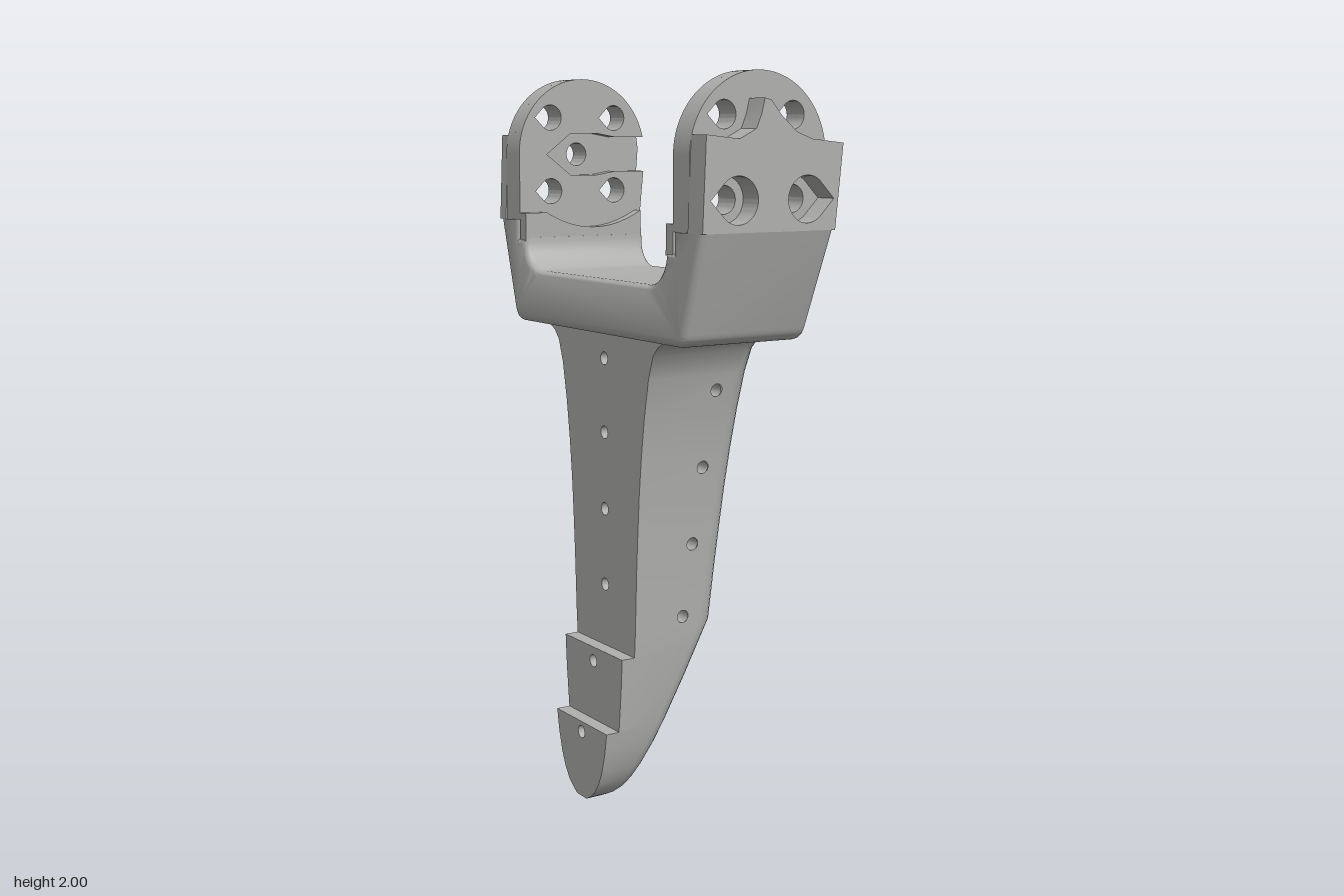
import * as THREE from 'three';
import { mergeGeometries, toCreasedNormals } from 'three/addons/utils/BufferGeometryUtils.js';

const HOLE = 0.018;

// Piecewise linear lookup in a list of [y, value]
const lerpTable = (table, y) => {
  for (let i = 1; i < table.length; i++) {
    const [y0, a] = table[i - 1], [y1, b] = table[i];
    if (y <= y1) return a + ((b - a) * (y - y0)) / (y1 - y0);
  }
  return table[table.length - 1][1];
};

// Front slope shared by leg, saddle and arms
const frontX = (y) => lerpTable([[0, -0.17], [0.01, -0.145], [0.03, -0.125], [0.06, -0.106], [0.5, 0.105], [2, 0.2585]], y);
const halfWidth = (y) => lerpTable([[0, 0.025], [0.01, 0.043], [0.03, 0.068], [0.06, 0.09], [0.1, 0.108], [0.16, 0.125],
  [0.22, 0.135], [0.34, 0.147], [0.5, 0.157], [0.67, 0.164], [0.775, 0.17], [0.88, 0.177], [0.99, 0.188], [1.1, 0.203],
  [1.205, 0.223], [1.27, 0.245], [1.295, 0.268], [1.31, 0.295], [1.34, 0.31]], y);
const backX = (y) => (y < 0.22 ? -0.24 : y < 0.43 ? -0.2 : -0.16);
const cornerR = (y) => Math.min(0.05, halfWidth(y) * 0.6);

function polygon(points, holes = []) {
  const shape = new THREE.Shape(points.map(([x, y]) => new THREE.Vector2(x, y)));
  shape.holes.push(...holes);
  return shape;
}

function roundHole(x, y, r) {
  const path = new THREE.Path();
  path.absarc(x, y, r, 0, Math.PI * 2, true);
  return path;
}

// Circle with a pointed end toward side s
function teardrop(x, y, r, s) {
  const path = new THREE.Path();
  const a = s > 0 ? Math.PI / 4 : Math.PI * 1.25;
  path.absarc(x, y, r, a, a + Math.PI * 1.5, false);
  path.lineTo(x + s * 1.41 * r, y);
  path.closePath();
  return path;
}

// Tapered leg made of bands, with drilled flat faces and rounded front corners
function legGeometry(frontHoles, sideHoles) {
  const levels = [0, 0.01, 0.03, 0.06, 0.1, 0.16, 0.22, 0.34, 0.43, 0.5, 0.56, 0.67, 0.775, 0.88, 0.99, 1.1, 1.205, 1.27, 1.295, 1.31, 1.34];
  const parts = [];
  const face = (points, holes, map) => {
    const g = new THREE.ShapeGeometry(polygon(points, holes), 8).toNonIndexed();
    const p = g.attributes.position;
    for (let i = 0; i < p.count; i++) p.setXYZ(i, ...map(p.getX(i), p.getY(i)));
    g.deleteAttribute('normal');
    g.deleteAttribute('uv');
    parts.push(g);
  };
  const quad = (a, b, c, d) => {
    const g = new THREE.BufferGeometry();
    g.setAttribute('position', new THREE.Float32BufferAttribute([a, b, c, a, c, d].flat(), 3));
    parts.push(g);
  };
  const corner = (y, i, s) => {
    const r = cornerR(y), t = (i / 5) * Math.PI / 2;
    return [frontX(y) - r + r * Math.sin(t), y, s * (halfWidth(y) - r + r * Math.cos(t))];
  };
  for (let k = 1; k < levels.length; k++) {
    const y0 = levels[k - 1], y1 = levels[k], xb = backX((y0 + y1) / 2);
    const inBand = ([, y]) => y > y0 && y < y1;
    const e0 = frontX(y0) - cornerR(y0), e1 = frontX(y1) - cornerR(y1);
    const w0 = halfWidth(y0), w1 = halfWidth(y1), n0 = w0 - cornerR(y0), n1 = w1 - cornerR(y1);
    const sides = sideHoles.filter(inBand), fronts = frontHoles.filter(inBand);
    face([[xb, y0], [e0, y0], [e1, y1], [xb, y1]], sides.map(([x, y]) => roundHole(x, y, HOLE)), (u, y) => [u, y, halfWidth(y)]);
    face([[-e0, y0], [-xb, y0], [-xb, y1], [-e1, y1]], sides.map(([x, y]) => roundHole(-x, y, HOLE)), (u, y) => [-u, y, -halfWidth(y)]);
    const drilled = () => fronts.map(([, y]) => roundHole(0, y, HOLE));
    face([[-n0, y0], [n0, y0], [n1, y1], [-n1, y1]], drilled(), (u, y) => [frontX(y), y, -u]);
    face([[-w0, y0], [w0, y0], [w1, y1], [-w1, y1]], drilled(), (u, y) => [xb, y, u]);
    for (let i = 0; i < 5; i++) {
      quad(corner(y0, i, 1), corner(y0, i + 1, 1), corner(y1, i + 1, 1), corner(y1, i, 1));
      quad(corner(y0, i + 1, -1), corner(y0, i, -1), corner(y1, i, -1), corner(y1, i + 1, -1));
    }
  }
  // Ledges of the two steps on the back
  for (const [y, a, b] of [[0.22, -0.24, -0.2], [0.43, -0.2, -0.16]]) {
    const w = halfWidth(y);
    quad([a, y, w], [b, y, w], [b, y, -w], [a, y, -w]);
  }
  // Underside of the tip
  const w = halfWidth(0), x = frontX(0);
  quad([-0.24, 0, -w], [x, 0, -w + cornerR(0)], [x, 0, w - cornerR(0)], [-0.24, 0, w]);
  return toCreasedNormals(mergeGeometries(parts), 0.45);
}

// U-shaped saddle, cut to the front slope
function saddleGeometry() {
  const s = new THREE.Shape();
  s.moveTo(-0.385, 1.6);
  s.lineTo(-0.385, 1.55);
  s.lineTo(-0.35, 1.55);
  s.bezierCurveTo(-0.35, 1.5, -0.31, 1.46, -0.26, 1.46);
  s.lineTo(0.285, 1.46);
  s.bezierCurveTo(0.335, 1.46, 0.375, 1.5, 0.375, 1.55);
  s.lineTo(0.41, 1.55);
  s.lineTo(0.41, 1.6);
  s.lineTo(0.52, 1.6);
  s.lineTo(0.445, 1.345);
  s.quadraticCurveTo(0.435, 1.31, 0.4, 1.31);
  s.lineTo(-0.4, 1.31);
  s.quadraticCurveTo(-0.435, 1.31, -0.445, 1.345);
  s.lineTo(-0.52, 1.6);
  s.closePath();
  const b = 0.02;
  const g = new THREE.ExtrudeGeometry(s, { depth: 0.395 - 2 * b, bevelThickness: b, bevelSize: b, bevelOffset: -b, bevelSegments: 4, curveSegments: 10 });
  g.rotateY(Math.PI / 2).translate(-0.195 + b, 0, 0);
  const p = g.attributes.position;
  for (let i = 0; i < p.count; i++) {
    if (p.getY(i) > 1.57) p.setY(i, 1.6);
    if (p.getX(i) > 0) p.setX(i, p.getX(i) + frontX(p.getY(i)) - 0.2);
  }
  return toCreasedNormals(g, 0.6);
}

// Round-topped ear plate, optionally with the pointed slot open to the front
function earShape(slotted, holes) {
  const s = new THREE.Shape();
  s.moveTo(-0.19, 1.6);
  s.lineTo(frontX(1.6), 1.6);
  if (slotted) {
    [[frontX(1.735), 1.735], [0.13, 1.735], [0.07, 1.725], [-0.02, 1.725], [-0.1, 1.785], [-0.02, 1.845], [0.07, 1.845], [0.13, 1.835]].forEach(([x, y]) => s.lineTo(x, y));
  }
  s.absarc(0.022, 1.788, 0.212, slotted ? 0.22 : 0.05, Math.PI, false);
  s.closePath();
  s.holes.push(...holes);
  return s;
}

export function createModel() {
  const model = new THREE.Group();
  const grey = new THREE.MeshStandardMaterial({ color: 0xb0b0ae, side: THREE.DoubleSide });
  grey.name = 'plain grey';
  const add = (name, geometry, parent = model) => {
    const mesh = new THREE.Mesh(geometry, grey);
    mesh.name = name;
    parent.add(mesh);
    return mesh;
  };

  const frontHoles = [1.24, 1.035, 0.82, 0.605, 0.39, 0.19].map((y) => [0, y]);
  const sideHoles = [[0.065, 1.16], [0.042, 0.945], [0.02, 0.73], [-0.005, 0.525]];
  add('leg', legGeometry(frontHoles, sideHoles));
  add('saddle', saddleGeometry());

  // Bores through the leg
  for (const [, y] of frontHoles) {
    const length = frontX(y - HOLE) - backX(y);
    const bore = add('frontBore', new THREE.CylinderGeometry(HOLE, HOLE, length, 16, 1, true));
    bore.rotation.z = Math.PI / 2;
    bore.position.set(backX(y) + length / 2, y, 0);
  }
  for (const [x, y] of sideHoles) {
    const bore = add('sideBore', new THREE.CylinderGeometry(HOLE, HOLE, 2 * halfWidth(y - HOLE), 16, 1, true));
    bore.rotation.x = Math.PI / 2;
    bore.position.set(x, y, 0);
  }

  // Arms: inner lip, slotted plate, backing plate and outer pad
  const boltHoles = () => [1.89, 1.68].flatMap((y) => [-0.087, 0.127].map((x) => teardrop(x, y, 0.036, -1)));
  const pockets = () => [teardrop(-0.087, 1.68, 0.06, -1), teardrop(0.127, 1.68, 0.06, 1)];
  const arms = [
    { name: 'leftArm', z: [0.35, 0.382, 0.415, 0.455, 0.52], centre: [] },
    { name: 'rightArm', z: [-0.376, -0.409, -0.445, -0.486, -0.52], centre: [0.02, 1.785] },
  ];
  for (const { name, z, centre } of arms) {
    const arm = new THREE.Group();
    arm.name = name;
    model.add(arm);
    const centreHole = () => (centre.length ? [roundHole(...centre, 0.033)] : []);
    const layer = (part, shape, a, b) => {
      const g = new THREE.ExtrudeGeometry(shape, { depth: Math.abs(b - a), bevelEnabled: false, curveSegments: 32 });
      g.translate(0, 0, Math.min(a, b));
      add(part, toCreasedNormals(g, 0.5), arm);
    };
    const lip = new THREE.Shape();
    lip.moveTo(-0.19, 1.54);
    lip.lineTo(frontX(1.54) - 0.01, 1.54);
    lip.lineTo(0.2, 1.62);
    lip.quadraticCurveTo(0.04, 1.53, -0.12, 1.62);
    lip.lineTo(-0.19, 1.62);
    lip.closePath();
    layer('innerLip', lip, z[0], z[1]);
    layer('slottedPlate', earShape(true, boltHoles()), z[1], z[2]);
    layer('backingPlate', earShape(false, [...boltHoles(), ...centreHole()]), z[2], z[3]);
    layer('outerPad', polygon([[-0.195, 1.6], [frontX(1.6), 1.6], [0.24, 1.82], [0.14, 1.83], [0.09, 1.848], [0.04, 1.89], [0.01, 1.925],
      [-0.01, 1.93], [-0.02, 1.89], [-0.035, 1.855], [-0.085, 1.83], [-0.185, 1.84]], [...pockets(), ...centreHole()]), z[3], z[4]);
  }
  return model;
}
